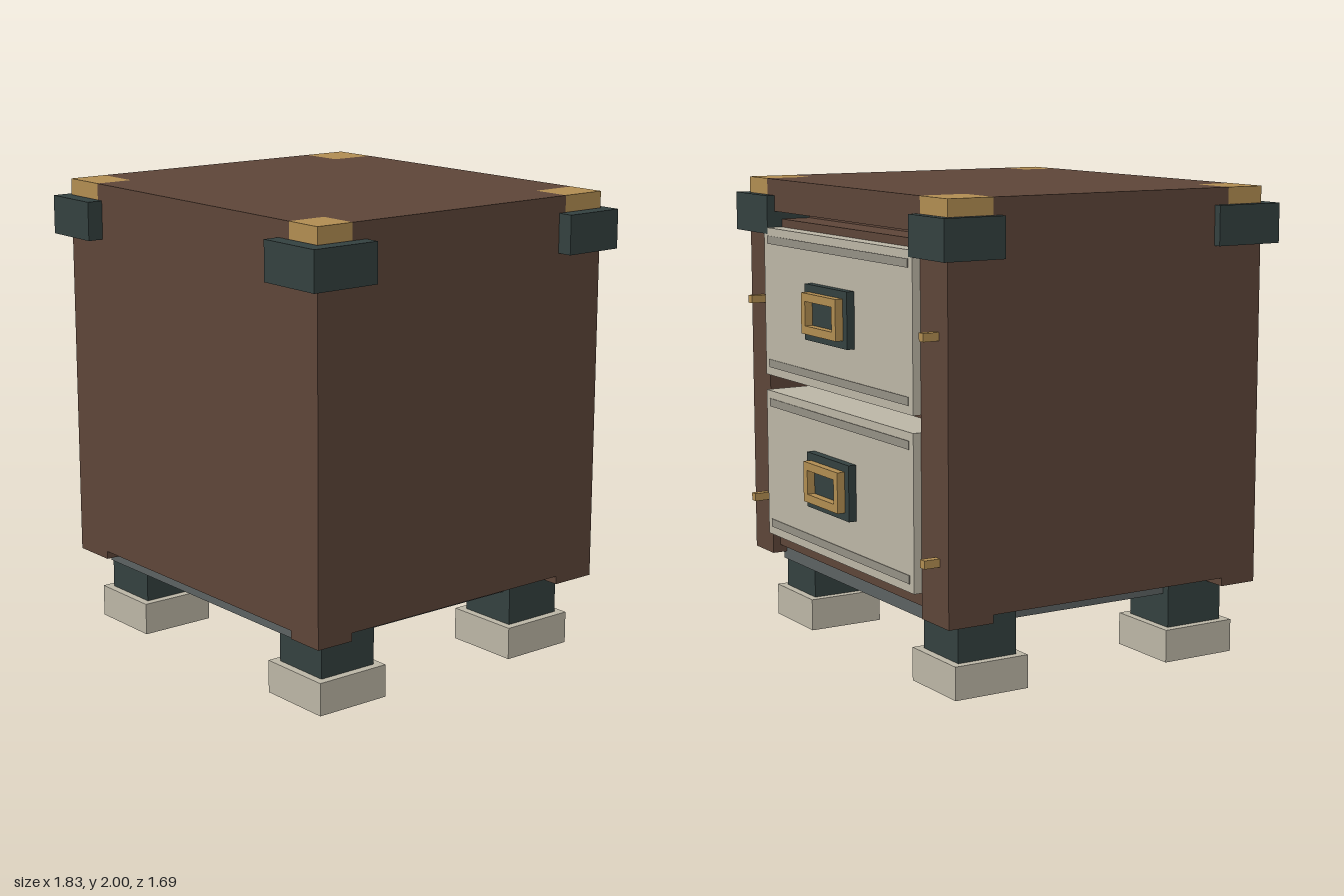
import * as THREE from 'three';

const mat = (name, color) => {
  const m = new THREE.MeshStandardMaterial({ color });
  m.name = name;
  return m;
};

export function createModel() {
  const brown = mat('brown wood', 0x5d4538);
  const dark = mat('dark slate', 0x33403f);
  const gold = mat('brass', 0xb08c51);
  const light = mat('pale stone', 0xbbb5a5);
  const grey = mat('grey metal', 0x5b6161);
  const groove = mat('groove grey', 0x949084);

  const model = new THREE.Group();
  model.name = 'cabinet';

  // Box given by its limits on each axis
  const box = (parent, name, material, [x0, x1], [y0, y1], [z0, z1]) => {
    const mesh = new THREE.Mesh(new THREE.BoxGeometry(x1 - x0, y1 - y0, z1 - z0), material);
    mesh.position.set((x0 + x1) / 2, (y0 + y1) / 2, (z0 + z1) / 2);
    mesh.name = name;
    parent.add(mesh);
    return mesh;
  };

  // Cabinet body, open towards -z
  const body = new THREE.Group();
  body.name = 'body';
  model.add(body);
  box(body, 'core', brown, [-0.879, 0.844], [0.35, 1.93], [-0.57, 0.774]);
  box(body, 'topRail', brown, [-0.67, 0.67], [1.86, 1.93], [-0.74, -0.57]);
  box(body, 'topShelf', brown, [-0.67, 0.67], [1.79, 1.825], [-0.705, -0.57]);
  box(body, 'bottomRail', brown, [-0.67, 0.67], [0.35, 0.42], [-0.705, -0.57]);
  for (const x of [[-0.879, -0.67], [0.67, 0.844]]) {
    box(body, 'drawerStile', brown, x, [0.35, 1.93], [-0.74, -0.57]);
  }

  // Cross-shaped lid, leaving the corners for the brass caps
  box(body, 'lid', brown, [-0.67, 0.67], [1.93, 2], [-0.74, 0.774]);
  for (const x of [[-0.879, -0.67], [0.67, 0.844]]) {
    box(body, 'lidSide', brown, x, [1.93, 2], [-0.535, 0.603]);
  }

  // Corner caps and the short corner drops under the body
  for (const x of [[-0.879, -0.67], [0.67, 0.844]]) {
    for (const z of [[-0.74, -0.535], [0.603, 0.774]]) {
      box(model, 'cornerCap', gold, x, [1.93, 2], z);
      box(body, 'cornerDrop', brown, x, [0.315, 0.35], z);
    }
  }

  // Dark brackets round the upper corners
  for (const x of [[-0.914, -0.64], [0.602, 0.912]]) {
    for (const z of [[-0.776, -0.5], [0.534, 0.844]]) {
      box(model, 'cornerBracket', dark, x, [1.762, 1.929], z);
    }
  }

  // Base plate, legs and feet
  box(model, 'basePlate', grey, [-0.74, 0.7], [0.28, 0.351], [-0.672, 0.708]);
  for (const x of [-0.64, 0.602]) {
    for (const z of [-0.499, 0.537]) {
      box(model, 'leg', dark, [x - 0.136, x + 0.136], [0.14, 0.33], [z - 0.137, z + 0.137]);
      box(model, 'foot', light, [x - 0.171, x + 0.171], [0, 0.14], [z - 0.171, z + 0.171]);
    }
  }

  // Drawers with grooves and framed handles
  for (const y of [0.42, 1.14]) {
    const drawer = new THREE.Group();
    drawer.name = y < 1 ? 'lowerDrawer' : 'upperDrawer';
    drawer.position.y = y;
    model.add(drawer);
    box(drawer, 'drawerFront', light, [-0.669, 0.637], [0, 0.65], [-0.775, -0.57]);
    for (const g of [0.035, 0.58]) {
      box(drawer, 'groove', groove, [-0.635, 0.603], [g, g + 0.035], [-0.778, -0.774]);
    }
    box(drawer, 'handlePlate', dark, [-0.191, 0.186], [0.207, 0.445], [-0.81, -0.775]);
    const z = [-0.845, -0.81];
    for (const h of [[0.24, 0.275], [0.378, 0.413]]) {
      box(drawer, 'handleBar', gold, [-0.156, 0.151], h, z);
    }
    for (const x of [[-0.156, -0.121], [0.116, 0.151]]) {
      box(drawer, 'handleEnd', gold, x, [0.275, 0.378], z);
    }
  }

  // Brass pins beside the drawers
  for (const x of [-0.795, 0.718]) {
    for (const y of [0.573, 1.467]) {
      box(model, 'pin', gold, [x - 0.017, x + 0.017], [y - 0.017, y + 0.017], [-0.81, -0.74]);
    }
  }
  return model;
}
